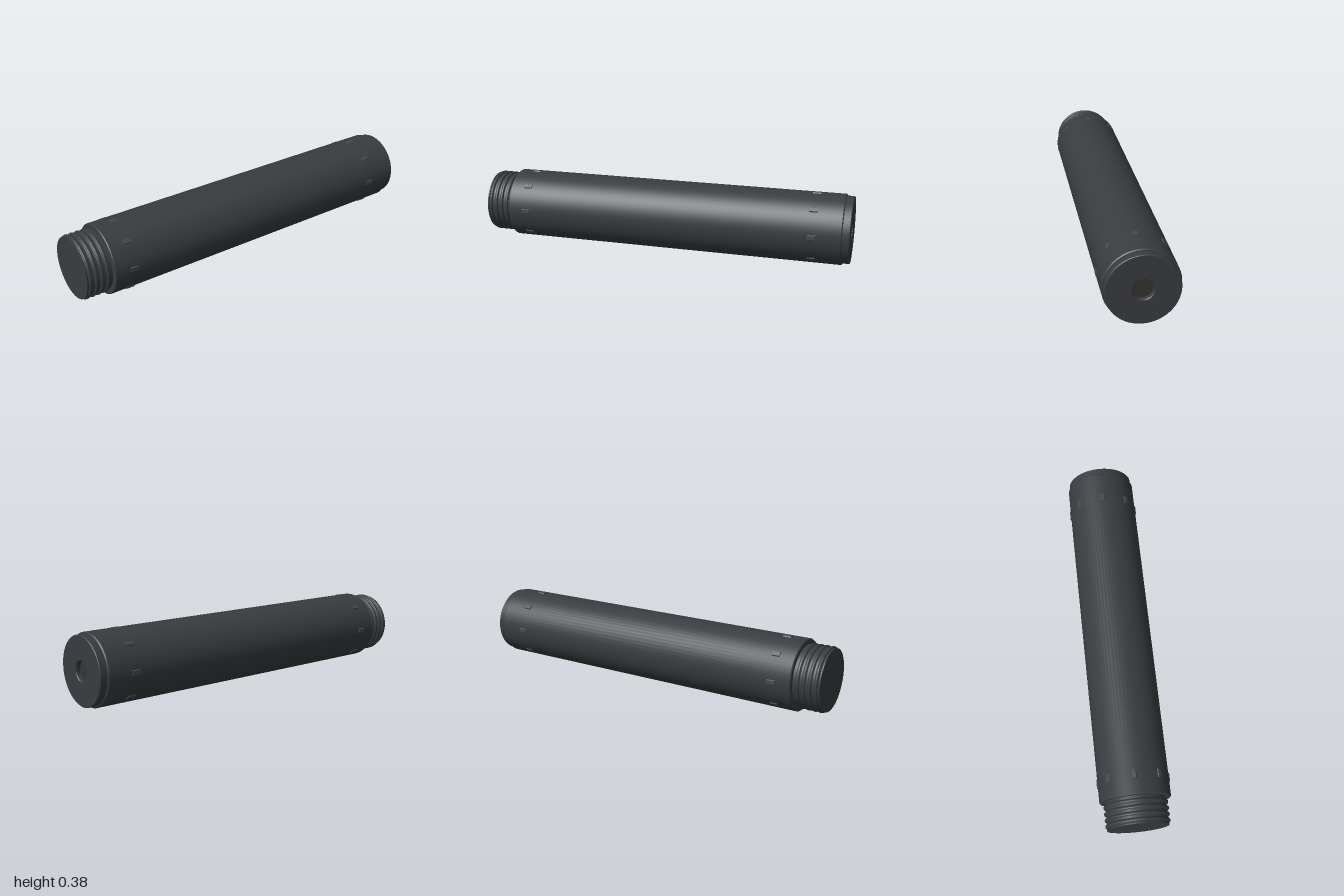
import * as THREE from 'three';
import { toCreasedNormals } from 'three/addons/utils/BufferGeometryUtils.js';

const AXIS_Y = 0.19;
const dark = new THREE.MeshStandardMaterial({ color: 0x393c40 });
const recess = new THREE.MeshStandardMaterial({ color: 0x343432 });
const light = new THREE.MeshStandardMaterial({ color: 0x45484c });

// Turned part: [radius, z] profile running from back to front
function turned(name, profile, material = dark) {
  const points = profile.map(([r, z]) => new THREE.Vector2(r, z));
  const geometry = toCreasedNormals(new THREE.LatheGeometry(points, 64).rotateX(Math.PI / 2), 0.5);
  const mesh = new THREE.Mesh(geometry, material);
  mesh.name = name;
  return mesh;
}

// Ring of eight low tapered lugs around the tube
function lugRing(name, z) {
  const group = new THREE.Group();
  group.name = name;
  const length = 0.042;
  const shape = new THREE.Shape([
    new THREE.Vector2(-0.018, 0.178), new THREE.Vector2(0.018, 0.178),
    new THREE.Vector2(0.01, 0.1895), new THREE.Vector2(-0.01, 0.1895),
  ]);
  const geometry = new THREE.ExtrudeGeometry(shape, { depth: length, bevelEnabled: false });
  geometry.translate(0, 0, z - length / 2);
  for (let i = 0; i < 8; i++) {
    const lug = new THREE.Mesh(geometry, light);
    lug.name = 'lug';
    lug.rotation.z = i * Math.PI / 4;
    group.add(lug);
  }
  return group;
}

export function createModel() {
  const model = new THREE.Group();
  model.name = 'threadedTube';
  const assembly = new THREE.Group();
  assembly.name = 'assembly';
  assembly.position.y = AXIS_Y;
  model.add(assembly);

  // Main tube with small chamfers at both ends
  assembly.add(turned('tube', [
    [0, -0.962], [0.18, -0.962], [0.185, -0.957],
    [0.185, 0.855], [0.181, 0.86], [0, 0.86],
  ]));

  // Back cap with a bore in the middle
  assembly.add(turned('backCap', [
    [0.05, -0.975], [0.05, -0.996], [0.054, -1], [0.173, -1], [0.176, -0.997], [0.176, -0.96],
  ]));
  assembly.add(turned('boreFloor', [[0, -0.976], [0.051, -0.976]], recess));

  // Threaded front spigot with four rounded ridges
  const thread = [[0.157, 0.85]];
  for (let i = 0; i < 4; i++) {
    const z = 0.885 + i * 0.0315;
    thread.push([0.157, z - 0.011]);
    for (let k = 0; k <= 6; k++) {
      const a = Math.PI * k / 6;
      thread.push([0.159 + 0.008 * Math.sin(a), z - 0.0085 * Math.cos(a)]);
    }
    thread.push([0.157, z + 0.011]);
  }
  thread.push([0.16, 0.994], [0.16, 1], [0, 1]);
  assembly.add(turned('threadedSpigot', thread));

  assembly.add(lugRing('frontLugs', 0.758), lugRing('backLugs', -0.81));
  return model;
}
